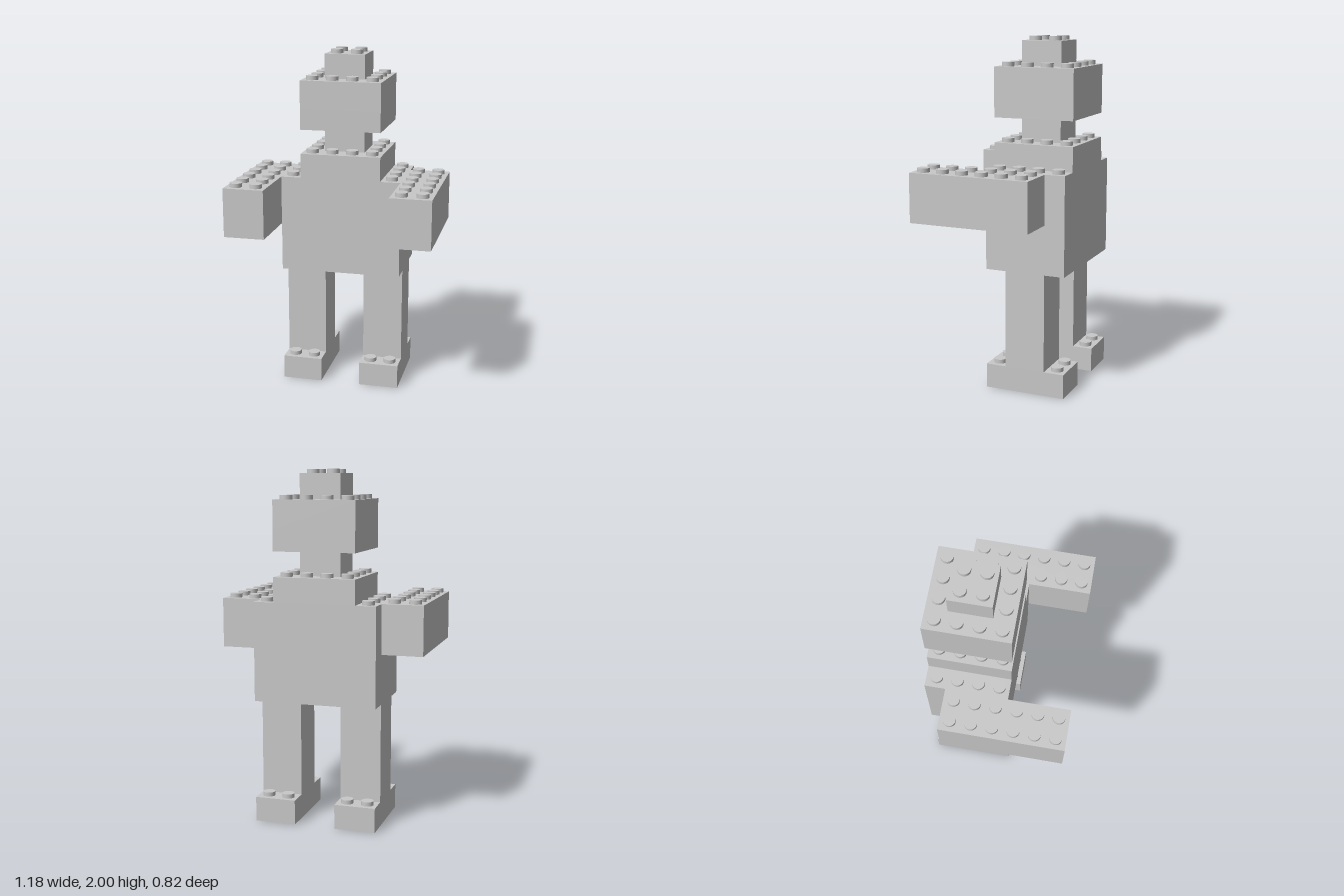
import * as THREE from 'three';
import { mergeGeometries, toCreasedNormals } from 'three/addons/utils/BufferGeometryUtils.js';

const P = 2 / 17;        // stud pitch
const H = 1.2 * P;       // brick layer height
const WALL = 0.19 * P;   // wall thickness of the hollow underside
const DEPTH = H - 0.02;  // depth of the hollow underside

const grey = new THREE.MeshStandardMaterial({ color: 0xc8c8c8 });
grey.name = 'light grey plastic';

// Flat shape extruded upwards; shape y becomes -z
const extrudeUp = (shape, depth) => toCreasedNormals(
  new THREE.ExtrudeGeometry(shape, { depth, bevelEnabled: false, curveSegments: 12 }).rotateX(-Math.PI / 2), 0.6);

const box = (w, h, d, y) => new THREE.BoxGeometry(w, h, d).translate(0, y + h / 2, 0).toNonIndexed();

// Walls of the bottom layer plus its tubes; cells lists brick depths from front to back
function underside(w, d, cells) {
  const X = w * P / 2, Z = d * P / 2;
  const rim = new THREE.Shape([[-X, -Z], [X, -Z], [X, Z], [-X, Z]].map(p => new THREE.Vector2(...p)));
  const parts = [];
  let start = -Z;
  for (const c of cells) {
    const a = start + WALL, b = start + c * P - WALL, x = X - WALL;
    rim.holes.push(new THREE.Path([[-x, a], [-x, b], [x, b], [x, a]].map(p => new THREE.Vector2(...p))));
    for (let i = 1; i < w; i++) {
      for (let j = 1; j < c; j++) {
        const ring = new THREE.Shape().absarc(0, 0, 0.407 * P, 0, Math.PI * 2);
        ring.holes.push(new THREE.Path().absarc(0, 0, 0.3 * P, 0, Math.PI * 2, true));
        parts.push(extrudeUp(ring, DEPTH).translate(i * P - X, 0, -(start + j * P)));
      }
    }
    start += c * P;
  }
  parts.push(extrudeUp(rim, DEPTH));
  return parts;
}

// Block of bricks, sized in studs and layers; cover is the studless rectangle [x0, x1, z0, z1]
function block(name, { x = 0, z = -1.5, w, d, layer, layers, cells, cover }) {
  const group = new THREE.Group();
  group.name = name;
  group.position.set(x * P, layer * H, z * P);

  const base = cells ? DEPTH : 0;
  const body = [box(w * P, layers * H - base, d * P, base)];
  if (cells) body.push(...underside(w, d, cells));
  const bodyMesh = new THREE.Mesh(mergeGeometries(body), grey);
  bodyMesh.name = name + 'Body';
  group.add(bodyMesh);

  const studs = [];
  for (let i = 0; i < w; i++) {
    for (let j = 0; j < d; j++) {
      const sx = i + 0.5 - w / 2, sz = j + 0.5 - d / 2;
      if (cover && sx > cover[0] && sx < cover[1] && sz > cover[2] && sz < cover[3]) continue;
      studs.push(new THREE.CylinderGeometry(0.3 * P, 0.3 * P, 0.2 * P, 24)
        .translate(sx * P, layers * H + 0.1 * P, sz * P));
    }
  }
  if (studs.length) {
    const studMesh = new THREE.Mesh(mergeGeometries(studs), grey);
    studMesh.name = name + 'Studs';
    group.add(studMesh);
  }
  return group;
}

export function createModel() {
  const model = new THREE.Group();
  model.name = 'brickFigure';
  const middle = [-1, 1, -1, 1];

  // Limbs, mirrored
  for (const [side, s] of [['left', 1], ['right', -1]]) {
    model.add(
      block(side + 'Foot', { x: 2 * s, w: 2, d: 4, layer: 0, layers: 1, cells: [2, 2], cover: middle }),
      block(side + 'Leg', { x: 2 * s, w: 2, d: 2, layer: 1, layers: 4, cover: middle }),
      block(side + 'Arm', { x: 4 * s, z: 0.5, w: 2, d: 6, layer: 7, layers: 2, cells: [2, 4] }),
    );
  }

  // Trunk and head
  model.add(
    block('torso', { w: 6, d: 4, layer: 5, layers: 4, cells: [2, 2], cover: [-2, 2, -2, 2] }),
    block('shoulders', { w: 4, d: 4, layer: 9, layers: 1, cover: middle }),
    block('neck', { w: 2, d: 2, layer: 10, layers: 1, cover: middle }),
    block('head', { w: 4, d: 4, layer: 11, layers: 2, cells: [2, 2], cover: middle }),
    block('hat', { w: 2, d: 2, layer: 13, layers: 1 }),
  );
  return model;
}
